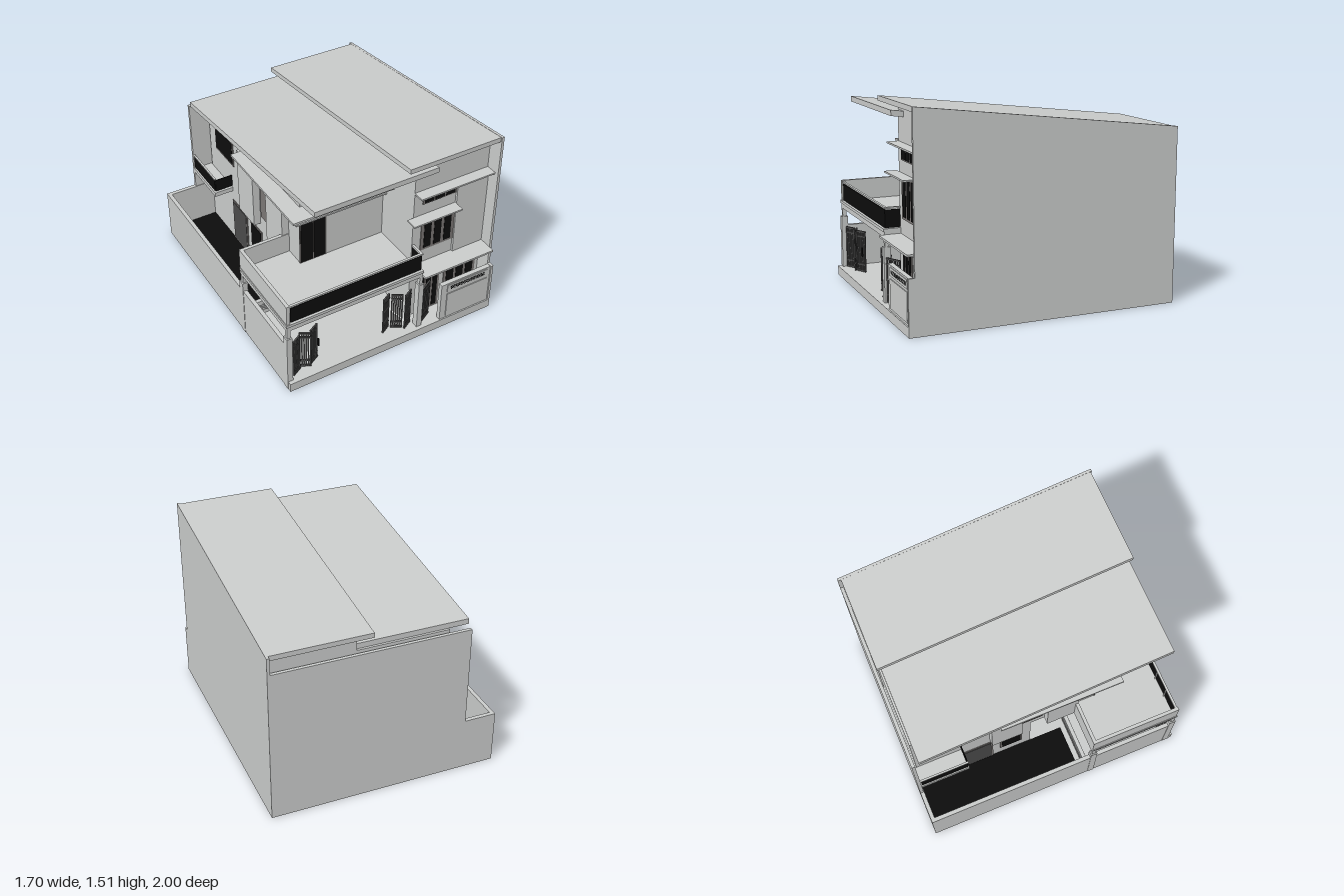
import * as THREE from 'three';

export function createModel() {
  const house = new THREE.Group();
  house.name = 'house';
  const mat = (name, color, side = THREE.FrontSide) => {
    const m = new THREE.MeshStandardMaterial({ color, side });
    m.name = name;
    return m;
  };
  const wall = mat('paleGrey', 0xcbcdcc);
  const black = mat('blackGlass', 0x0d0d0d);
  const frame = mat('frameGrey', 0x7c7876);
  const metal = mat('gateGrey', 0x4c4c4c);

  const add = (name, geo, m, parent = house) => {
    const mesh = new THREE.Mesh(geo, m);
    mesh.name = name;
    parent.add(mesh);
    return mesh;
  };
  // box given by its limits on each axis
  const box = (name, m, x0, x1, y0, y1, z0, z1, parent = house) => {
    const geo = new THREE.BoxGeometry(x1 - x0, y1 - y0, z1 - z0);
    geo.translate((x0 + x1) / 2, (y0 + y1) / 2, (z0 + z1) / 2);
    return add(name, geo, m, parent);
  };
  // side profile of [z, y] points, extruded from x0 to x1
  const profile = (name, m, x0, x1, pts) => {
    const shape = new THREE.Shape(pts.map(([z, y]) => new THREE.Vector2(z, y)));
    const geo = new THREE.ExtrudeGeometry(shape, { depth: x1 - x0, bevelEnabled: false });
    geo.rotateY(-Math.PI / 2).translate(x1, 0, 0);
    return add(name, geo, m);
  };
  const SLOPE = 0.117;
  const under = (yFront, z) => yFront - SLOPE * (0.93 - z);

  // ground and boundary walls
  box('base', wall, -0.85, 0.85, 0, 0.07, -1, 1);
  profile('rightWall', wall, 0.83, 0.85,
    [[-1, 0], [1, 0], [1, 0.4], [0.955, 0.4], [0.955, 1.51], [-1, 1.28]]);
  box('backWall', wall, -0.61, 0.83, 0.07, 1.155, -1, -0.975);
  box('backFence', wall, -0.85, -0.46, 0.07, 0.4, -1, -0.97);
  box('leftFence', wall, -0.85, -0.82, 0.07, 0.4, -1, 0.96);
  box('sideCurb', wall, -0.82, -0.79, 0.07, 0.1, -0.97, 0.23);
  box('sideBed', black, -0.76, -0.46, 0.07, 0.078, -0.97, 0.21);

  // house volumes under the sloping roofs
  const volume = (name, x0, x1, y0, z0, z1, roof) => profile(name, wall, x0, x1,
    [[z0, y0], [z1, y0], [z1, under(roof, z1)], [z0, under(roof, z0)]]);
  box('groundRearBlock', wall, -0.46, 0.22, 0.07, 0.56, -0.975, -0.05);
  box('groundFrontBlock', wall, -0.24, 0.22, 0.07, 0.56, -0.05, 0.3);
  volume('upperBlock', -0.46, 0.22, 0.54, -0.96, 0.46, 1.39);
  volume('tallBlock', 0.22, 0.83, 0.07, -0.965, 0.84, 1.47);
  box('tallBlockPier', wall, 0.57, 0.83, 0.555, 1.19, 0.84, 0.857);

  // roofs
  const roof = (name, x0, x1, yTop, t, zBack, zFront) => {
    const a = under(yTop, zFront), b = under(yTop, zBack);
    profile(name, wall, x0, x1, [[zBack, b - t], [zFront, a - t], [zFront, a], [zBack, b]]);
  };
  roof('leftRoof', -0.61, 0.34, 1.43, 0.04, -0.945, 0.93);
  roof('rightRoof', 0.1, 0.83, 1.505, 0.036, -0.975, 0.945);

  // canopies and ledges
  box('upperCanopy', wall, -0.585, 0.22, 1.08, 1.097, -0.33, 0.6);
  box('lowerCanopy', wall, -0.515, 0.22, 0.978, 0.99, -0.33, 0.51);
  box('windowCanopy', wall, 0.17, 0.57, 0.978, 0.99, 0.84, 0.93);
  box('upperLedge', wall, 0.22, 0.83, 1.19, 1.202, 0.84, 0.925);
  box('lowerLedge', wall, 0.24, 0.83, 0.54, 0.555, 0.84, 1);
  box('lowerLedgeLip', wall, 0.24, 0.83, 0.48, 0.49, 0.84, 0.89);
  box('doorHead', wall, -0.46, -0.25, 0.99, 1.08, 0.46, 0.475);

  // bays on the left side
  for (const [z0, z1] of [[-0.38, -0.14], [0.06, 0.3]])
    box('sideBay', wall, -0.515, -0.46, 0.54, 1.08, z0, z1);

  // windows facing the front: grey plate with black panes
  const frontWindow = (name, x0, x1, y0, y1, z, panes, gap = 0.02) => {
    const g = new THREE.Group();
    g.name = name;
    house.add(g);
    box('windowFrame', frame, x0, x1, y0, y1, z, z + 0.006, g);
    const w = (x1 - x0 - gap * (panes + 1)) / panes;
    for (let i = 0; i < panes; i++) {
      const x = x0 + gap + i * (w + gap);
      box('pane', black, x, x + w, y0 + gap * 0.7, y1 - gap * 0.7, z + 0.004, z + 0.009, g);
    }
  };
  frontWindow('tallWindow', 0.29, 0.57, 0.67, 0.975, 0.84, 3, 0.026);
  frontWindow('highWindow', 0.29, 0.57, 1.08, 1.188, 0.84, 3, 0.013);
  frontWindow('frontDoor', 0.29, 0.48, 0.08, 0.47, 0.84, 3, 0.018);
  frontWindow('groundRightWindow', 0.52, 0.8, 0.2, 0.47, 0.84, 3, 0.022);
  frontWindow('carportWindow', -0.13, 0.14, 0.17, 0.47, 0.3, 3, 0.024);
  frontWindow('balconyDoor', -0.465, -0.25, 0.6, 0.975, 0.46, 2, 0.008);
  box('carportLintel', wall, -0.15, 0.16, 0.47, 0.485, 0.3, 0.34);

  // windows on the left side
  const sideWindow = (name, m, y0, y1, z0, z1) => {
    box(name + 'Frame', frame, -0.466, -0.46, y0, y1, z0, z1);
    box(name, m, -0.469, -0.464, y0 + 0.015, y1 - 0.015, z0 + 0.015, z1 - 0.015);
  };
  sideWindow('sideGlass', black, 0.8, 1.02, -0.85, -0.55);
  sideWindow('stairWindow', frame, 0.62, 1.05, -0.12, 0.04);
  sideWindow('kitchenDoor', metal, 0.08, 0.46, -0.6, -0.36);
  sideWindow('kitchenWindow', black, 0.2, 0.46, -0.3, -0.12);

  // small rear balcony on the left side
  box('rearBalconyFloor', wall, -0.61, -0.46, 0.54, 0.575, -0.975, -0.6);
  box('rearBalconyGlass', black, -0.605, -0.598, 0.59, 0.69, -0.97, -0.61);
  box('rearBalconyRail', wall, -0.61, -0.595, 0.695, 0.705, -0.975, -0.6);
  box('rearBalconyEnd', black, -0.6, -0.46, 0.59, 0.69, -0.608, -0.602);

  // front balcony with solid sides and a glass front
  box('balconySlab', wall, -0.845, 0.24, 0.535, 0.58, 0.28, 0.96);
  box('balconyMoulding', wall, -0.85, 0.245, 0.575, 0.597, 0.28, 0.968);
  box('balconyLeftParapet', wall, -0.845, -0.82, 0.59, 0.755, 0.28, 0.96);
  box('balconyBackParapet', wall, -0.82, -0.46, 0.59, 0.755, 0.28, 0.305);
  box('balconyGlass', black, -0.81, 0.232, 0.6, 0.728, 0.945, 0.952);
  box('balconyEndGlass', black, 0.226, 0.232, 0.6, 0.728, 0.84, 0.945);
  box('balconyRail', wall, -0.82, 0.24, 0.735, 0.747, 0.938, 0.956);
  box('balconyEndRail', wall, 0.222, 0.24, 0.735, 0.747, 0.84, 0.945);
  for (let i = 0; i <= 7; i++) {
    const x = -0.815 + i * 0.149;
    box('railPost', wall, x - 0.003, x + 0.003, 0.597, 0.737, 0.936, 0.945);
  }

  // gate pillars with slimmer posts carrying the balcony
  for (const [x, z] of [[-0.832, 0.945], [0.233, 0.945], [-0.832, 0.3]]) {
    box('pillar', wall, x - 0.021, x + 0.021, 0, 0.47, z - 0.025, z + 0.025);
    box('pillarPost', wall, x - 0.012, x + 0.014, 0.47, 0.54, z - 0.015, z + 0.015);
  }

  // pierced ring blocks
  const rings = (name, x0, x1, n, y, z, r) => {
    for (let i = 0; i < n; i++) {
      const geo = new THREE.TorusGeometry(r, 0.004, 4, 10);
      geo.translate(x0 + (x1 - x0) * (i + 0.5) / n, y, z);
      add(name, geo, wall);
    }
  };
  box('carportLowWall', wall, -0.82, -0.24, 0.07, 0.195, 0.25, 0.28);
  for (const y of [0.115, 0.147]) {
    rings('ringBlock', -0.79, -0.28, 16, y, 0.282, 0.013);
    rings('ringBlock', -0.79, -0.28, 16, y, 0.248, 0.013);
  }

  // front fence with a raised panel and a pierced band
  box('frontFence', wall, 0.4, 0.83, 0.07, 0.395, 0.955, 0.99);
  box('fencePanel', wall, 0.45, 0.805, 0.09, 0.3, 0.99, 0.996);
  box('fenceBand', wall, 0.45, 0.805, 0.32, 0.382, 0.99, 0.995);
  box('fenceOpening', black, 0.48, 0.778, 0.338, 0.366, 0.993, 0.997);
  rings('fenceRing', 0.48, 0.778, 10, 0.352, 0.995, 0.011);

  // slatted gate leaves, folded open
  const gateLeaf = (x, z, w, angle) => {
    const g = new THREE.Group();
    g.name = 'gateLeaf';
    g.position.set(x, 0.075, z);
    g.rotation.y = angle;
    house.add(g);
    const h = 0.32;
    for (const y of [0, 0.05, 0.27, h - 0.012])
      box('gateRail', metal, -w / 2, w / 2, y, y + 0.012, -0.006, 0.006, g);
    for (let i = 0; i < 6; i++) {
      const c = -w / 2 + 0.005 + (w - 0.01) * i / 5;
      box('gateSlat', metal, c - 0.005, c + 0.005, 0, h, -0.004, 0.004, g);
    }
  };
  for (let i = 0; i < 3; i++) {
    const turn = i % 2 ? -0.5 : 0.5;
    gateLeaf(-0.755 + i * 0.08, 0.92 - i * 0.02, 0.085, turn);
    gateLeaf(0.0 + i * 0.08, 0.88 + i * 0.02, 0.085, turn);
  }
  gateLeaf(0.31, 0.92, 0.13, 0.5);
  for (const x of [-0.56, 0.36])
    box('gateHandle', black, x - 0.004, x + 0.004, 0.2, 0.27, 0.88, 0.89);

  return house;
}
